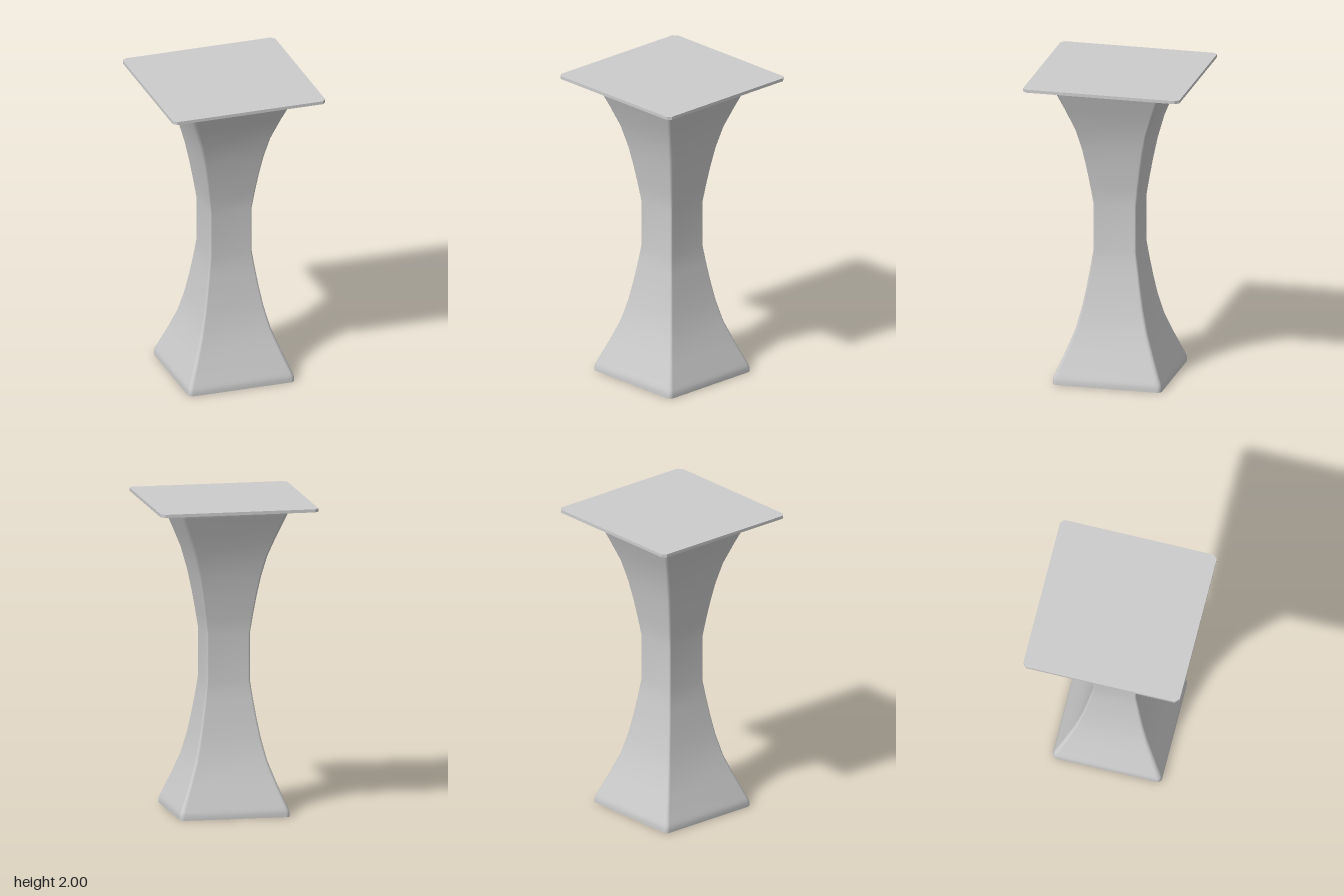
import * as THREE from 'three';

const material = new THREE.MeshStandardMaterial({ color: 0xcccccc });

// Outline of a square with cut or rounded corners, counter-clockwise
function squareOutline(half, corner, steps) {
  const points = [];
  for (let q = 0; q < 4; q++) {
    const sx = q === 0 || q === 3 ? 1 : -1;
    const sy = q < 2 ? 1 : -1;
    for (let i = 0; i <= steps; i++) {
      const a = (q + i / steps) * Math.PI / 2;
      points.push(new THREE.Vector2(
        sx * (half - corner) + corner * Math.cos(a),
        sy * (half - corner) + corner * Math.sin(a)));
    }
  }
  return points;
}

// Loft of square sections, each given as [height, half width]
function loftGeometry(sections) {
  const positions = [], indices = [];
  let n = 0;
  for (const [y, half] of sections) {
    const ring = squareOutline(half, half * 0.08, 3);
    n = ring.length;
    for (const p of ring) positions.push(p.x, y, -p.y);
  }
  for (let j = 0; j < sections.length - 1; j++) {
    for (let i = 0; i < n; i++) {
      const a = j * n + i, b = j * n + (i + 1) % n;
      indices.push(a, b, b + n, a, b + n, a + n);
    }
  }
  const geometry = new THREE.BufferGeometry();
  geometry.setAttribute('position', new THREE.Float32BufferAttribute(positions, 3));
  geometry.setIndex(indices);
  geometry.computeVertexNormals();
  return geometry;
}

export function createModel() {
  const model = new THREE.Group();
  const add = (name, geometry) => {
    const mesh = new THREE.Mesh(geometry, material);
    mesh.name = name;
    model.add(mesh);
    return mesh;
  };

  // Waisted column, the upper half mirroring the lower one
  const lower = [[0, 0.355], [0.025, 0.355], [0.045, 0.35], [0.065, 0.342], [0.2, 0.287],
    [0.34, 0.235], [0.48, 0.2], [0.61, 0.176], [0.73, 0.157], [0.85, 0.14]];
  const upper = lower.slice(2).reverse().map(([y, half]) => [2 - y, half]);
  upper.push([1.98, 0.355]);
  add('column', loftGeometry([...lower, ...upper]));

  // Flat underside of the column
  const base = new THREE.ShapeGeometry(new THREE.Shape(squareOutline(0.355, 0.0284, 3)));
  add('columnUnderside', base.rotateX(Math.PI / 2));

  // Thin square top with cut corners
  const top = new THREE.ExtrudeGeometry(new THREE.Shape(squareOutline(0.51, 0.025, 1)),
    { depth: 0.02, bevelEnabled: false });
  add('topPlate', top.rotateX(-Math.PI / 2)).position.y = 1.98;

  return model;
}
